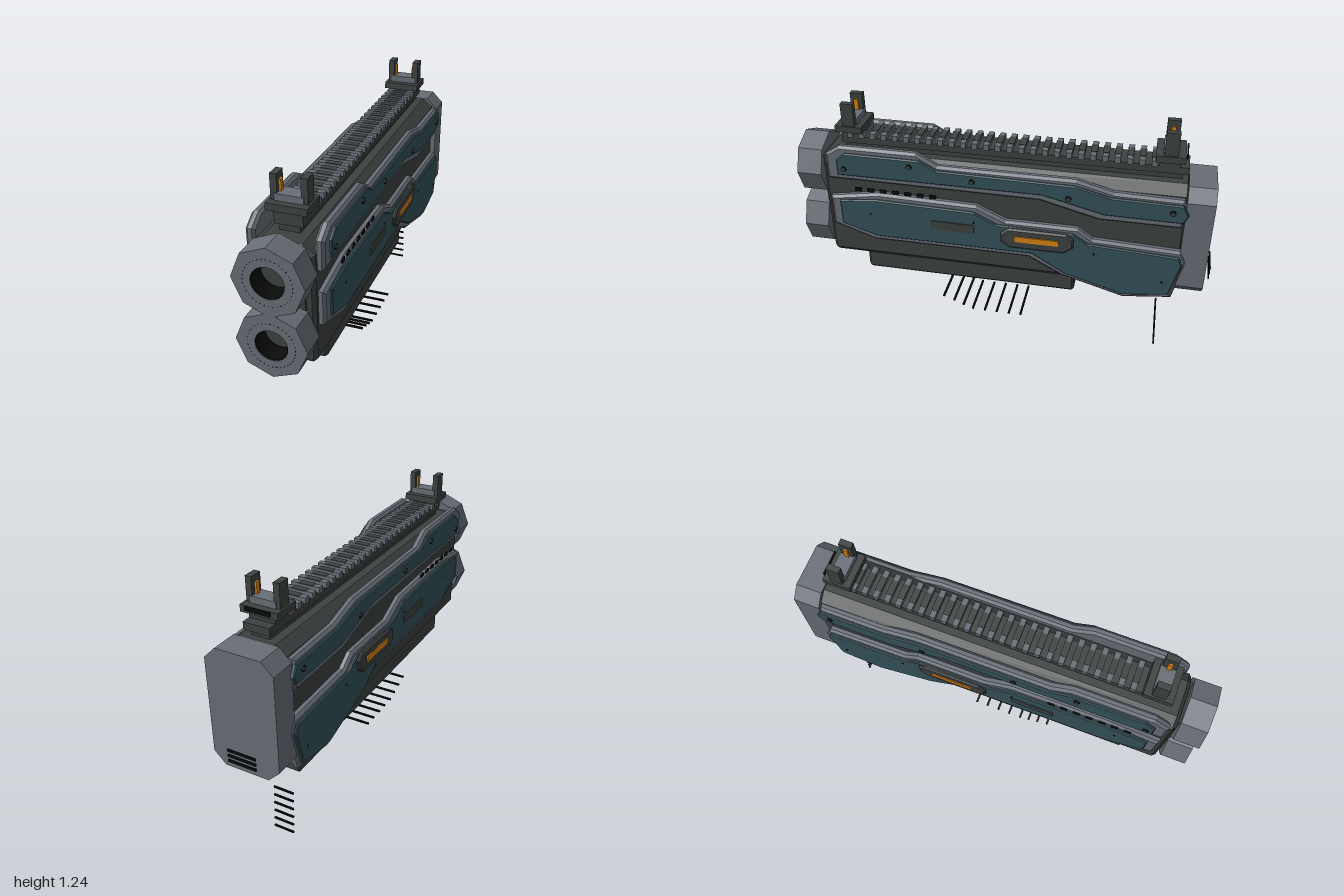
import * as THREE from 'three';

const mat = (name, color) => {
  const m = new THREE.MeshStandardMaterial({ color });
  m.name = name;
  return m;
};

export function createModel() {
  const root = new THREE.Group();
  root.name = 'twinBarrelDevice';
  const dark = mat('dark grey', 0x3d4241);
  const grey = mat('steel grey', 0x686e77);
  const teal = mat('teal', 0x33525a);
  const orange = mat('orange', 0xdc8414);
  const black = mat('black', 0x0a0b0b);

  const add = (name, geo, material, parent = root) => {
    const mesh = new THREE.Mesh(geo, material);
    mesh.name = name;
    parent.add(mesh);
    return mesh;
  };
  // Box given by its min and max along each axis
  const box = (name, [x0, x1], [y0, y1], [z0, z1], material, parent) => {
    const mesh = add(name, new THREE.BoxGeometry(x1 - x0, y1 - y0, z1 - z0), material, parent);
    mesh.position.set((x0 + x1) / 2, (y0 + y1) / 2, (z0 + z1) / 2);
    return mesh;
  };
  const shapeOf = (pts) => new THREE.Shape(pts.map((p) => new THREE.Vector2(...p)));
  const extrude = (shape, depth, bevel) => new THREE.ExtrudeGeometry(shape, {
    depth: depth - 2 * bevel, bevelEnabled: bevel > 0, bevelThickness: bevel,
    bevelSize: bevel, bevelOffset: -bevel, bevelSegments: 1, curveSegments: 24,
  }).translate(0, 0, bevel);
  // Cross-section in x,y run along z
  const prism = (name, pts, z0, z1, bevel, material) =>
    add(name, extrude(shapeOf(pts), z1 - z0, bevel).translate(0, 0, z0), material);
  // Outline in z,y run outwards along x on side s
  const sidePlate = (name, pts, x0, x1, bevel, material, s, parent) => {
    const geo = extrude(shapeOf(pts.map(([z, y]) => [-s * z, y])), x1 - x0, bevel);
    geo.rotateY((s * Math.PI) / 2).translate(s * x0, 0, 0);
    return add(name, geo, material, parent);
  };
  // Rectangle with cut corners
  const cutRect = (x0, x1, y0, y1, c) => [
    [x0 + c, y0], [x1 - c, y0], [x1, y0 + c], [x1, y1 - c],
    [x1 - c, y1], [x0 + c, y1], [x0, y1 - c], [x0, y0 + c],
  ];

  // Main body, neck, lower housing, foot and rear cap
  prism('body', [[-0.115, 0.45], [0.115, 0.45], [0.137, 0.475], [0.137, 0.965], [0.085, 1.005],
    [-0.085, 1.005], [-0.137, 0.965], [-0.137, 0.475]], -0.84, 0.87, 0.015, dark);
  box('neck', [-0.1, 0.1], [0.5, 0.98], [0.85, 0.885], dark);
  prism('lowerHousing', cutRect(-0.112, 0.112, 0.35, 0.48, 0.015), -0.35, 0.705, 0.012, dark);
  prism('foot', cutRect(-0.11, 0.04, 0.325, 0.375, 0.008), -0.735, -0.545, 0.008, dark);
  prism('rearCap', cutRect(-0.162, 0.162, 0.445, 1.005, 0.055), -0.955, -0.83, 0, grey);
  for (let i = 0; i < 3; i++) {
    const y = 0.5 + i * 0.026;
    box('rearVent', [-0.07, 0.07], [y - 0.006, y + 0.006], [-0.985, -0.979], black);
  }

  // Octagonal muzzles with round bores
  for (const y of [0.897, 0.606]) {
    const muzzle = new THREE.Group();
    muzzle.name = 'muzzle';
    muzzle.position.set(0, y, 0.88);
    root.add(muzzle);
    const outline = shapeOf(Array.from({ length: 8 }, (_, i) => {
      const a = (i * Math.PI) / 4;
      return [0.155 * Math.cos(a), 0.155 * Math.sin(a)];
    }));
    outline.holes.push(new THREE.Path().absarc(0, 0, 0.072, 0, Math.PI * 2, true));
    add('muzzleBlock', extrude(outline, 0.12, 0), grey, muzzle);
    const lining = new THREE.Shape().absarc(0, 0, 0.0725, 0, Math.PI * 2);
    lining.holes.push(new THREE.Path().absarc(0, 0, 0.069, 0, Math.PI * 2, true));
    add('boreLining', extrude(lining, 0.117, 0), black, muzzle);
    add('boreFloor', new THREE.CircleGeometry(0.071, 32), dark, muzzle).position.z = 0.03;
    for (let i = 0; i < 36; i++) {
      const a = (i * Math.PI) / 18;
      const pin = add('faceMark', new THREE.BoxGeometry(0.005, 0.003, 0.002), black, muzzle);
      pin.position.set(0.104 * Math.cos(a), 0.104 * Math.sin(a), 0.12);
      pin.rotation.z = a + Math.PI / 2;
    }
  }

  // Top rail with cross teeth
  box('railStem', [-0.045, 0.045], [0.99, 1.04], [-0.8, 0.78], dark);
  box('railBase', [-0.062, 0.062], [1.035, 1.07], [-0.825, 0.79], dark);
  for (let i = 0; i < 27; i++) {
    const z = 0.745 - i * 0.0545;
    box('railTooth', [-0.07, 0.07], [1.066, 1.094], [z - 0.013, z + 0.013], grey);
    box('railToothInset', [-0.036, 0.036], [1.09, 1.096], [z - 0.015, z + 0.015], dark);
  }

  // Front and rear sights
  for (const z of [0.745, -0.738]) {
    const sight = new THREE.Group();
    sight.name = z > 0 ? 'frontSight' : 'rearSight';
    root.add(sight);
    box('sightMount', [-0.062, 0.062], [1.07, 1.1], [z - 0.045, z + 0.045], dark, sight);
    box('sightBase', [-0.088, 0.088], [1.098, 1.13], [z - 0.065, z + 0.065], dark, sight);
    box('sightBlock', [-0.062, 0.062], [1.13, 1.16], [z - 0.035, z + 0.035], grey, sight);
    for (const s of [-1, 1]) {
      const span = (a, b) => [Math.min(s * a, s * b), Math.max(s * a, s * b)];
      box('sightPost', span(0.05, 0.079), [1.13, 1.24], [z - 0.03, z + 0.03], dark, sight);
      box('sightStrip', span(0.041, 0.05), [1.14, 1.212], [z - 0.01, z + 0.01], orange, sight);
    }
  }
  box('rearSightPlate', [-0.06, 0.06], [1.112, 1.132], [-0.813, -0.807], black);

  // Side armour outlines, as z,y
  const upperFrame = [[0.84, 1.02], [0.77, 1.065], [0.4, 1.065], [0.3, 1.01], [-0.34, 1.01],
    [-0.51, 0.965], [-0.82, 0.96], [-0.845, 0.895], [-0.82, 0.815], [-0.45, 0.815],
    [-0.18, 0.885], [0.84, 0.89]];
  const upperPanel = [[0.785, 1.0], [0.74, 1.035], [0.385, 1.035], [0.3, 0.992], [-0.34, 0.985],
    [-0.5, 0.945], [-0.82, 0.94], [-0.845, 0.89], [-0.825, 0.85], [-0.475, 0.852],
    [-0.19, 0.922], [0.785, 0.92]];
  const lowerFrame = [[0.84, 0.79], [0.6, 0.83], [0.12, 0.82], [-0.02, 0.755], [-0.36, 0.755],
    [-0.43, 0.705], [-0.84, 0.69], [-0.865, 0.635], [-0.815, 0.425], [-0.59, 0.395],
    [-0.29, 0.48], [-0.13, 0.565], [0.635, 0.565], [0.84, 0.635]];
  const lowerPanel = [[0.79, 0.78], [0.6, 0.8], [0.13, 0.79], [0.02, 0.735], [-0.34, 0.73],
    [-0.41, 0.685], [-0.83, 0.665], [-0.845, 0.62], [-0.8, 0.45], [-0.59, 0.42],
    [-0.3, 0.505], [-0.15, 0.595], [0.615, 0.595], [0.79, 0.65]];
  const bolts = [[0.75, 0.955], [0.43, 1.0], [0.135, 0.955], [-0.31, 0.92], [-0.775, 0.9]];
  const rivets = [[0.64, 0.72], [0.13, 0.735], [-0.44, 0.635], [-0.765, 0.52]];

  for (const s of [-1, 1]) {
    const side = new THREE.Group();
    side.name = s > 0 ? 'leftArmour' : 'rightArmour';
    root.add(side);
    const plate = (name, pts, x0, x1, bevel, m) => sidePlate(name, pts, x0, x1, bevel, m, s, side);
    plate('upperFrame', upperFrame, 0.125, 0.167, 0.012, grey);
    plate('lowerFrame', lowerFrame, 0.125, 0.167, 0.012, grey);
    plate('upperPanel', upperPanel, 0.15, 0.178, 0.005, teal);
    plate('lowerPanel', lowerPanel, 0.15, 0.178, 0.005, teal);
    // Light bar in its housing, and the plain slot cover
    plate('lightHousing', [[0, 0.655], [0, 0.7], [-0.035, 0.73], [-0.31, 0.73], [-0.345, 0.705],
      [-0.345, 0.66], [-0.3, 0.625], [-0.04, 0.625]], 0.155, 0.191, 0.008, dark);
    plate('lightBar', cutRect(-0.275, -0.07, 0.666, 0.695, 0.004), 0.18, 0.196, 0, orange);
    plate('slotCover', cutRect(0.13, 0.34, 0.676, 0.722, 0.004), 0.17, 0.183, 0, dark);
    // Vent slots
    for (let i = 0; i < 7; i++) {
      const z = 0.685 - i * 0.0605;
      plate('ventSlot', cutRect(z - 0.017, z + 0.017, 0.848, 0.867, 0.003), 0.18, 0.186, 0, black);
    }
    // Bolts with slots, and small rivets
    const disc = (name, [z, y], r, x, m) => {
      const mesh = add(name, new THREE.CylinderGeometry(r, r, 0.014, 12).rotateZ(Math.PI / 2), m, side);
      mesh.position.set(s * x, y, z);
    };
    for (const p of bolts) {
      disc('boltRim', p, 0.014, 0.175, black);
      disc('boltHead', p, 0.01, 0.178, dark);
    }
    for (const p of rivets) disc('rivet', p, 0.005, 0.174, black);
  }

  // Loose slats below the housing and the foot
  const slats = [[0.308, 0.24], [0.255, 0.22], [0.206, 0.2], [0.158, 0.182], [0.095, 0.181],
    [0.033, 0.181], [-0.03, 0.181], [-0.09, 0.181]];
  for (const [z, y] of slats) {
    box('housingSlat', [-0.105, 0.135], [y - 0.004, y + 0.004], [z - 0.005, z + 0.005], black);
  }
  for (let i = 0; i < 6; i++) {
    const y = 0.218 - i * 0.0428, z = -0.757 - i * 0.0026;
    box('footSlat', [-0.087, 0.015], [y - 0.004, y + 0.004], [z - 0.004, z + 0.004], black);
  }
  return root;
}
